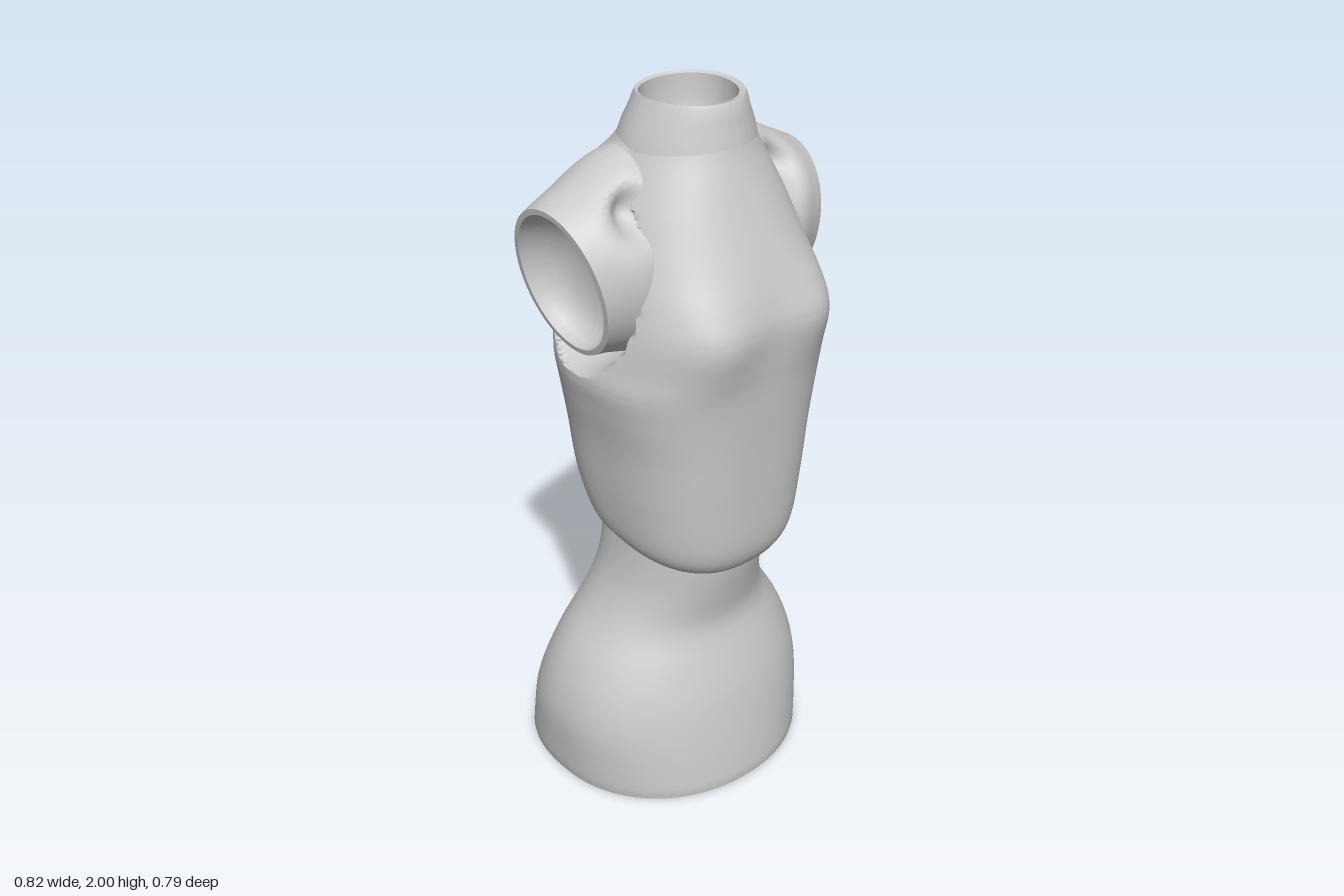
import * as THREE from 'three';
import { toCreasedNormals } from 'three/addons/utils/BufferGeometryUtils.js';

const SEG = 128;
const { smoothstep, clamp } = THREE.MathUtils;

// Catmull-Rom interpolation between rows of section parameters
function densify(rows, k) {
  const out = [];
  const at = i => rows[Math.min(Math.max(i, 0), rows.length - 1)];
  for (let i = 0; i < rows.length - 1; i++) {
    for (let s = 0; s < k; s++) {
      const t = s / k;
      out.push(rows[i].map((b, c) => {
        const a = at(i - 1)[c], d = at(i + 1)[c], e = at(i + 2)[c];
        const m0 = (d - a) / 2, m1 = (e - b) / 2;
        return b + m0 * t + (3 * (d - b) - 2 * m0 - m1) * t * t + (2 * (b - d) + m0 + m1) * t * t * t;
      }));
    }
  }
  out.push(rows[rows.length - 1]);
  return out;
}

// skin a list of section rows; point(row, angle) gives [x, y, z]
function loft(name, rows, point) {
  const pos = [], idx = [];
  for (const row of rows)
    for (let j = 0; j < SEG; j++) pos.push(...point(row, (j / SEG) * Math.PI * 2));
  for (let i = 0; i < rows.length - 1; i++) {
    for (let j = 0; j < SEG; j++) {
      const a = i * SEG + j, b = i * SEG + (j + 1) % SEG;
      idx.push(a, b, b + SEG, a, b + SEG, a + SEG);
    }
  }
  const geo = new THREE.BufferGeometry();
  geo.setAttribute('position', new THREE.Float32BufferAttribute(pos, 3));
  geo.setIndex(idx);
  const mesh = new THREE.Mesh(toCreasedNormals(geo, 0.75),
    new THREE.MeshStandardMaterial({ color: 0xcccccc, roughness: 0.8 }));
  mesh.name = name;
  return mesh;
}

const power = (v, p) => Math.sign(v) * Math.abs(v) ** (2 / p);
const bump = (dx, dy, dz, r) => Math.exp(-(dx * dx + dy * dy + dz * dz) / (r * r));

// horizontal section: [y, half width, front z, back z, front squareness,
//   rise towards back, extra half width at the back, back squareness]
function bodyPoint([y, w, zf, zb, p, tilt, flare = 0, pb = 2.4], a) {
  const c = Math.cos(a), q = c > 0 ? p : pb;
  const mid = (zf + zb) * 0.35;
  const width = w + flare * smoothstep(-c, -0.1, 0.3);
  const x = width * power(Math.sin(a), q);
  const z = mid + (c > 0 ? zf - mid : mid - zb) * power(c, q);
  return [x, y + tilt * (zf - z) / Math.max(zf - zb, 0.01), z];
}

// chest section with bust, sunk inwards around the arm to leave a shelf below it
function chestPoint(row, a) {
  let [x, y, z] = bodyPoint(row, a);
  const front = clamp(Math.cos(a) * 3, 0, 1);
  z += 0.036 * front * bump(Math.abs(x) - 0.19, (y - 1.45) * 0.85, 0, 0.11);
  const r = Math.hypot((y - 1.562) / 0.262, z / 0.215);
  const limit = 0.2 + 0.2 * smoothstep(r, 0.8, 1.06);
  return [clamp(x, -limit, limit), y, z];
}

export function createModel() {
  const model = new THREE.Group();
  model.name = 'torsoMannequin';

  // hips and waist, closed underneath
  const hips = densify([
    [0.01, 0.388, 0.335, -0.395, 2.1, 0],
    [0.1, 0.395, 0.325, -0.37, 2.1, 0],
    [0.2, 0.398, 0.31, -0.34, 2.1, 0],
    [0.3, 0.378, 0.29, -0.302, 2.1, 0],
    [0.4, 0.335, 0.26, -0.263, 2.1, 0],
    [0.5, 0.272, 0.232, -0.222, 2.1, 0],
    [0.6, 0.232, 0.248, -0.188, 2.1, 0],
    [0.7, 0.215, 0.268, -0.17, 2.1, 0],
    [0.82, 0.21, 0.28, -0.165, 2.1, 0],
  ], 3);
  model.add(loft('hips', [[0, 0, 0, 0, 2, 0], [0, 0.385, 0.333, -0.395, 2.1, 0], ...hips], bodyPoint));

  // chest shell with a rounded lower lip; the back widens into the shoulders
  const chest = densify([
    [0.74, 0.17, 0.22, -0.12, 2.3, 0.07, 0, 2.3],
    [0.72, 0.205, 0.285, -0.155, 2.4, 0.08, 0, 2.3],
    [0.745, 0.24, 0.32, -0.18, 2.5, 0.08, 0, 2.3],
    [0.81, 0.262, 0.342, -0.2, 2.6, 0.05, 0, 2.3],
    [0.95, 0.282, 0.352, -0.235, 2.7, 0, 0, 2.3],
    [1.1, 0.302, 0.36, -0.26, 2.7, 0, 0, 2.2],
    [1.22, 0.328, 0.368, -0.272, 2.6, 0, 0, 2.1],
    [1.3, 0.343, 0.373, -0.277, 2.5, 0, 0, 2.1],
    [1.37, 0.332, 0.379, -0.28, 2.5, 0, 0.01, 2.1],
    [1.46, 0.315, 0.384, -0.278, 2.6, 0, 0.04, 2.1],
    [1.53, 0.3, 0.37, -0.272, 2.6, 0, 0.06, 2.1],
    [1.6, 0.285, 0.346, -0.261, 2.5, 0, 0.08, 2.1],
    [1.72, 0.248, 0.296, -0.217, 2.4, 0, 0.1, 2.1],
    [1.8, 0.212, 0.264, -0.172, 2.3, 0, 0.075, 2.1],
    [1.86, 0.184, 0.243, -0.132, 2.1, 0, 0.015, 2],
    [1.9, 0.165, 0.232, -0.108, 2, 0, 0, 2],
  ], 8);
  model.add(loft('chest', chest, chestPoint));

  // collar with a rounded cup inside
  model.add(loft('neckCollar', [
    [1.87, 0.178, 0.238, -0.122, 2, 0, 0, 2],
    [1.92, 0.166, 0.229, -0.102, 2, 0, 0, 2],
    [1.96, 0.149, 0.22, -0.083, 2, 0, 0, 2],
    [1.99, 0.138, 0.216, -0.072, 2, 0, 0, 2],
    [2, 0.134, 0.21, -0.066, 2, 0, 0, 2],
    [1.995, 0.122, 0.19, -0.058, 2, 0, 0, 2],
    [1.93, 0.122, 0.19, -0.058, 2, 0, 0, 2],
    [1.87, 0.11, 0.176, -0.045, 2, 0, 0, 2],
    [1.83, 0.075, 0.14, -0.01, 2, 0, 0, 2],
    [1.815, 0, 0.065, 0.065, 2, 0, 0, 2],
  ], bodyPoint));

  // shoulder section: [x, centre y, centre z, radius y, radius z, outward lean]
  const shoulder = densify([
    [0.14, 1.605, 0.005, 0.275, 0.18, 0.01],
    [0.18, 1.603, 0.005, 0.268, 0.195, 0.06],
    [0.22, 1.595, 0.006, 0.253, 0.204, 0.11],
    [0.27, 1.582, 0.008, 0.233, 0.203, 0.17],
    [0.33, 1.57, 0, 0.212, 0.186, 0.21],
    [0.365, 1.562, -0.003, 0.203, 0.174, 0.22],
  ], 6);
  // rounded hollow inside the arm opening
  const socket = [
    [0.366, 1.562, -0.003, 0.188, 0.158, 0.22],
    [0.33, 1.56, -0.003, 0.18, 0.15, 0.22],
    [0.295, 1.56, -0.003, 0.155, 0.13, 0.2],
    [0.27, 1.56, -0.003, 0.115, 0.095, 0.16],
    [0.258, 1.56, -0.003, 0.06, 0.05, 0.14],
    [0.255, 1.56, -0.003, 0, 0, 0.14],
  ];
  for (const side of [1, -1]) {
    const ringPoint = ([cx, cy, cz, ry, rz, lean], a) => {
      const dy = ry * Math.cos(a);
      return [side * (cx + lean * dy), cy + dy, cz + side * rz * Math.sin(a)];
    };
    // pocket where the shoulder meets the chest
    const outerPoint = (row, a) => {
      const [x, y, z] = ringPoint(row, a);
      const g = bump(side * x - 0.25, (y - 1.77) * 0.7, z - 0.16, 0.05);
      return [x, y - 0.02 * g, z - 0.07 * g];
    };
    const label = side > 0 ? 'left' : 'right';
    model.add(loft(label + 'Shoulder', shoulder, outerPoint));
    model.add(loft(label + 'ArmSocket', [shoulder[shoulder.length - 1], ...socket], ringPoint));
  }
  return model;
}
